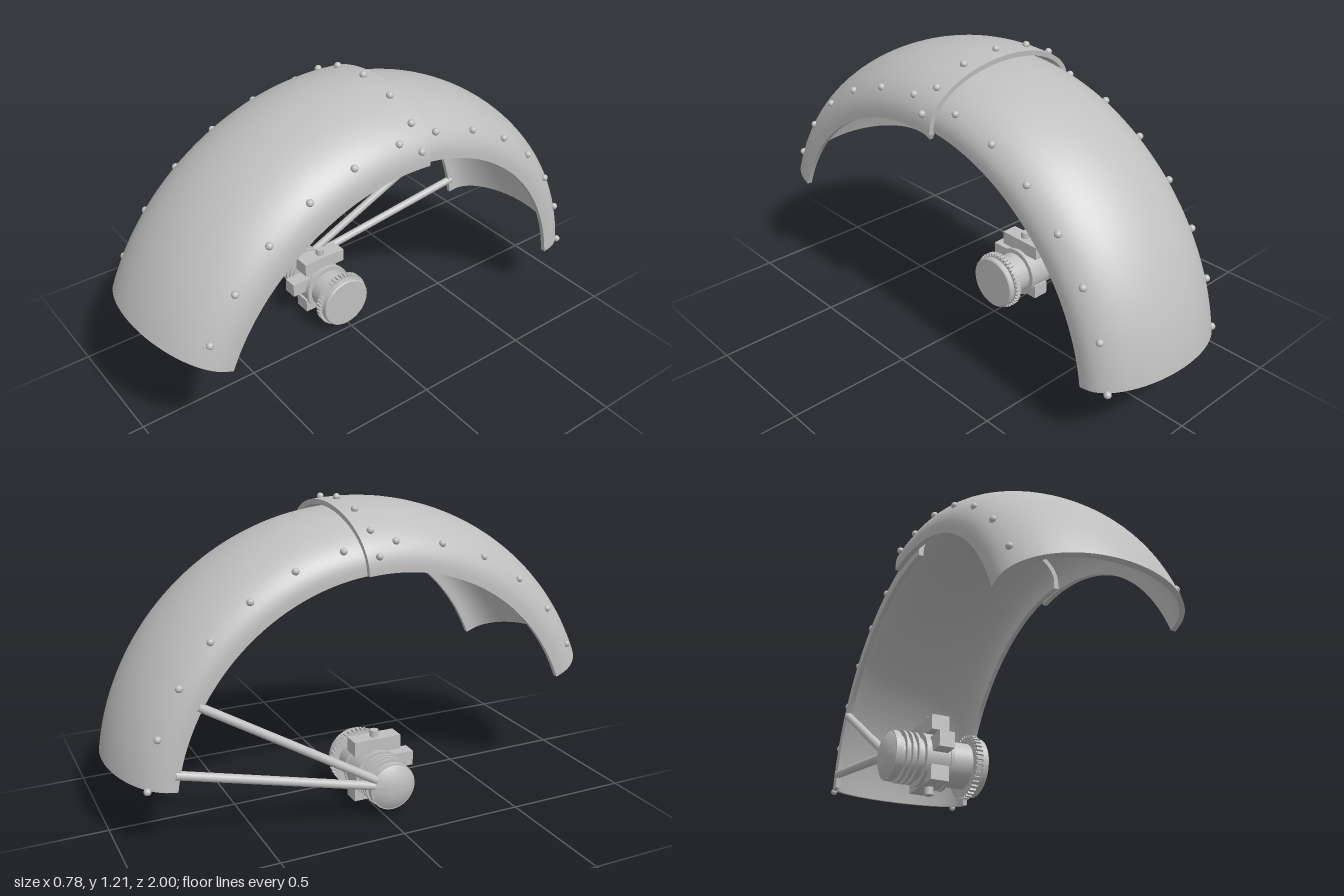
import * as THREE from 'three';
import { toCreasedNormals } from 'three/addons/utils/BufferGeometryUtils.js';

const CX = 0.025, CY = 0.13, CZ = 0.02; // fender centre line and wheel axle
const rad = THREE.MathUtils.degToRad;

// Point at sideways offset dx and distance r from the axle, at an angle from the front
const polar = (dx, r, deg) => new THREE.Vector3(
  CX + dx, CY + r * Math.sin(rad(deg)), CZ + r * Math.cos(rad(deg)));

// Half-elliptical fender section with short straight sides
function arch(halfWidth, rimR, topR) {
  const base = rimR + 0.025, pts = [[-halfWidth, rimR]], n = 32;
  for (let i = 0; i <= n; i++) {
    const a = Math.PI * (i / n - 0.5);
    pts.push([halfWidth * Math.sin(a), base + (topR - base) * Math.cos(a)]);
  }
  pts.push([halfWidth, rimR]);
  return pts;
}

// Sweep a thick arch around the axle
function fenderGeometry(halfWidth, rimR, topR, from, to) {
  const t = 0.02, steps = 48;
  const outer = arch(halfWidth, rimR, topR), inner = arch(halfWidth - t, rimR, topR - t);
  const loop = [...outer, ...inner.slice().reverse()];
  const n = loop.length, pos = [], idx = [];
  for (let i = 0; i <= steps; i++) {
    const deg = from + (to - from) * i / steps;
    for (const [dx, r] of loop) pos.push(...polar(dx, r, deg).toArray());
  }
  for (let i = 0; i < steps; i++) for (let j = 0; j < n; j++) {
    const a = i * n + j, b = i * n + (j + 1) % n;
    idx.push(a, b, a + n, b, b + n, a + n);
  }
  // End faces between outer and inner skin
  const e = steps * n;
  for (let k = 0; k < outer.length - 1; k++) {
    const o = k, p = k + 1, q = n - 1 - k, s = n - 2 - k;
    idx.push(o, q, p, p, q, s);
    idx.push(e + o, e + p, e + q, e + p, e + s, e + q);
  }
  const g = new THREE.BufferGeometry();
  g.setAttribute('position', new THREE.Float32BufferAttribute(pos, 3));
  g.setIndex(idx);
  return toCreasedNormals(g, rad(35));
}

export function createModel() {
  const metal = new THREE.MeshStandardMaterial({ color: 0xbfbfbf });
  metal.name = 'light grey metal';
  const model = new THREE.Group();
  model.name = 'wheelFender';

  const add = (name, geometry, parent = model, x = 0, y = 0, z = 0) => {
    const m = new THREE.Mesh(geometry, metal);
    m.name = name;
    m.position.set(x, y, z);
    parent.add(m);
    return m;
  };

  // Fender shells, the rear one tucked under the front one
  add('frontFender', fenderGeometry(0.355, 0.835, 1.06, 22.5, 96));
  add('rearFender', fenderGeometry(0.32, 0.829, 1.03, 85, 171.8));

  // Rivets along both sides and across the seam
  const rivets = new THREE.Group();
  rivets.name = 'rivets';
  model.add(rivets);
  const rivetGeo = new THREE.SphereGeometry(0.014, 14, 10);
  const rivet = (dx, r, deg) => add('rivet', rivetGeo, rivets).position.copy(polar(dx, r, deg));
  for (const side of [-1, 1]) {
    for (let i = 0; i < 6; i++) rivet(side * 0.322, 0.946, 28 + 12 * i);
    for (let i = 0; i < 7; i++) rivet(side * 0.293, 0.933, 100 + 12 * i);
  }
  for (let i = -3; i <= 3; i++) {
    const a = rad(26 * i);
    rivet(0.36 * Math.sin(a), 0.86 + 0.206 * Math.cos(a), 93);
  }

  // Axle hub, turned around the x axis
  const hub = new THREE.Group();
  hub.name = 'hub';
  hub.position.set(0, CY, CZ);
  model.add(hub);
  const profile = [
    [-0.392, 0], [-0.39, 0.035], [-0.382, 0.066], [-0.367, 0.09], // domed cap
    [-0.367, 0.094], [-0.342, 0.094], [-0.342, 0.08], [-0.25, 0.08],
    [-0.25, 0.1], [-0.155, 0.1], [-0.155, 0.105], [-0.143, 0.105], // collar
    [-0.143, 0.086], [-0.06, 0.086], [-0.06, 0.112], [-0.036, 0.112], // barrel and gear core
    [-0.036, 0.09], [-0.03, 0.09], [-0.03, 0.111], [-0.01, 0.111], [-0.006, 0.106], [-0.006, 0]
  ].map(([x, r]) => new THREE.Vector2(r, x));
  add('hubBody', toCreasedNormals(new THREE.LatheGeometry(profile, 48).rotateZ(-Math.PI / 2), rad(30)), hub);

  // Cooling fins
  const finGeo = new THREE.CylinderGeometry(0.098, 0.098, 0.01, 48).rotateZ(Math.PI / 2);
  for (const x of [-0.322, -0.299, -0.276]) add('fin', finGeo, hub, x);

  // Gear teeth
  const toothGeo = new THREE.BoxGeometry(0.024, 0.02, 0.01);
  for (let i = 0; i < 40; i++) {
    const a = i / 40 * Math.PI * 2;
    add('gearTooth', toothGeo, hub, -0.048, 0.112 * Math.cos(a), 0.112 * Math.sin(a)).rotation.x = a;
  }

  // Clamp blocks with pins above and below, and the front lug
  for (const s of [-1, 1]) {
    add('clampBlock', new THREE.BoxGeometry(0.07, 0.058, 0.2), hub, -0.2, s > 0 ? 0.12 : -0.072, 0);
    add('clampPin', new THREE.CylinderGeometry(0.018, 0.018, 0.06, 24), hub, -0.2, s > 0 ? 0.145 : -0.1, 0);
  }
  add('frontLug', new THREE.BoxGeometry(0.06, 0.06, 0.09), hub, -0.2, 0.036, 0.116);

  // Struts from the hub cap to the rear fender rim
  const strut = (deg, r) => {
    const a = new THREE.Vector3(-0.366, CY, CZ), b = polar(0, r, deg).setX(-0.285);
    const d = b.clone().sub(a);
    const m = add('strut', new THREE.CylinderGeometry(0.017, 0.017, d.length(), 20), model);
    m.position.copy(a).addScaledVector(d, 0.5);
    m.quaternion.setFromUnitVectors(new THREE.Vector3(0, 1, 0), d.normalize());
  };
  strut(149.8, 0.845);
  strut(167.6, 0.845);

  return model;
}
